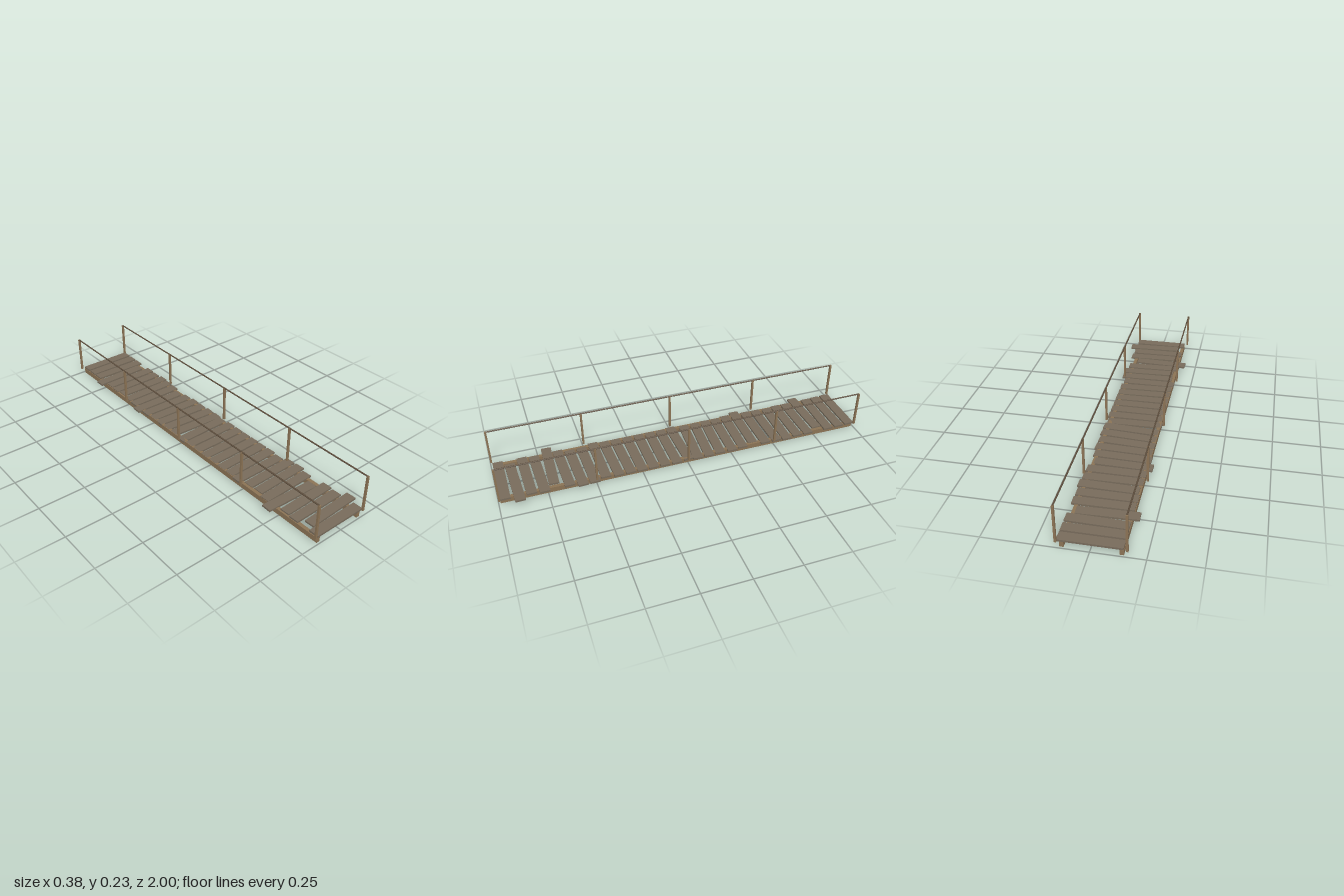
import * as THREE from 'three';

export function createModel() {
  const group = new THREE.Group();
  const beamWood = new THREE.MeshStandardMaterial({ color: 0x8b7355 });
  beamWood.name = 'brown timber';
  const plankWood = new THREE.MeshStandardMaterial({ color: 0x776b5b });
  plankWood.name = 'weathered planks';
  const railWood = new THREE.MeshStandardMaterial({ color: 0x5f4f3e });
  railWood.name = 'dark rail';

  const box = (name, mat, w, h, d, x, y, z) => {
    const mesh = new THREE.Mesh(new THREE.BoxGeometry(w, h, d), mat);
    mesh.name = name;
    mesh.position.set(x, y, z);
    group.add(mesh);
    return mesh;
  };

  // Two long bearers under the deck
  for (const x of [-0.14, 0.128]) box('bearer', beamWood, 0.019, 0.028, 1.98, x, 0.014, 0);

  // Posts and thin handrails on both sides
  for (const x of [-0.165, 0.153]) {
    for (let i = -2; i <= 2; i++) box('post', beamWood, 0.011, 0.2, 0.01, x, 0.13, i * 0.4975);
    const rail = new THREE.Mesh(new THREE.CylinderGeometry(0.004, 0.004, 1.99, 6), railWood);
    rail.name = 'handrail';
    rail.rotation.x = Math.PI / 2;
    rail.position.set(x, 0.229, 0);
    group.add(rail);
  }

  // Loose planks from back to front: [sideways shift, skew]
  const planks = [
    [0.002, 0], [0.003, 0], [0.004, -0.02], [-0.03, 0.03], [0.004, 0.01], [0.002, 0],
    [0.01, -0.02], [0.003, 0.01], [0, 0], [-0.023, -0.02], [-0.005, -0.03], [0.003, -0.03],
    [0, -0.06], [0.004, -0.07], [0.004, -0.06], [-0.005, 0.03], [0.004, 0.01], [0.003, 0],
    [0.002, 0.01], [0.003, 0.02], [0.002, 0.04], [0.003, 0.04], [-0.005, 0.01], [0.016, 0.03],
    [0.02, 0.04], [0.002, 0.03], [-0.038, -0.04], [0.01, 0.03], [0.004, 0.02], [0.038, 0.04],
    [0.004, 0],
  ];
  planks.forEach(([x, skew], i) => {
    const z = (i - 15) * 0.0643;
    // The deck sags towards the middle
    const plank = box('plank', plankWood, 0.3, 0.01, 0.053, x, 0.023 + 0.012 * z * z, z);
    plank.rotation.y = skew;
  });
  return group;
}
